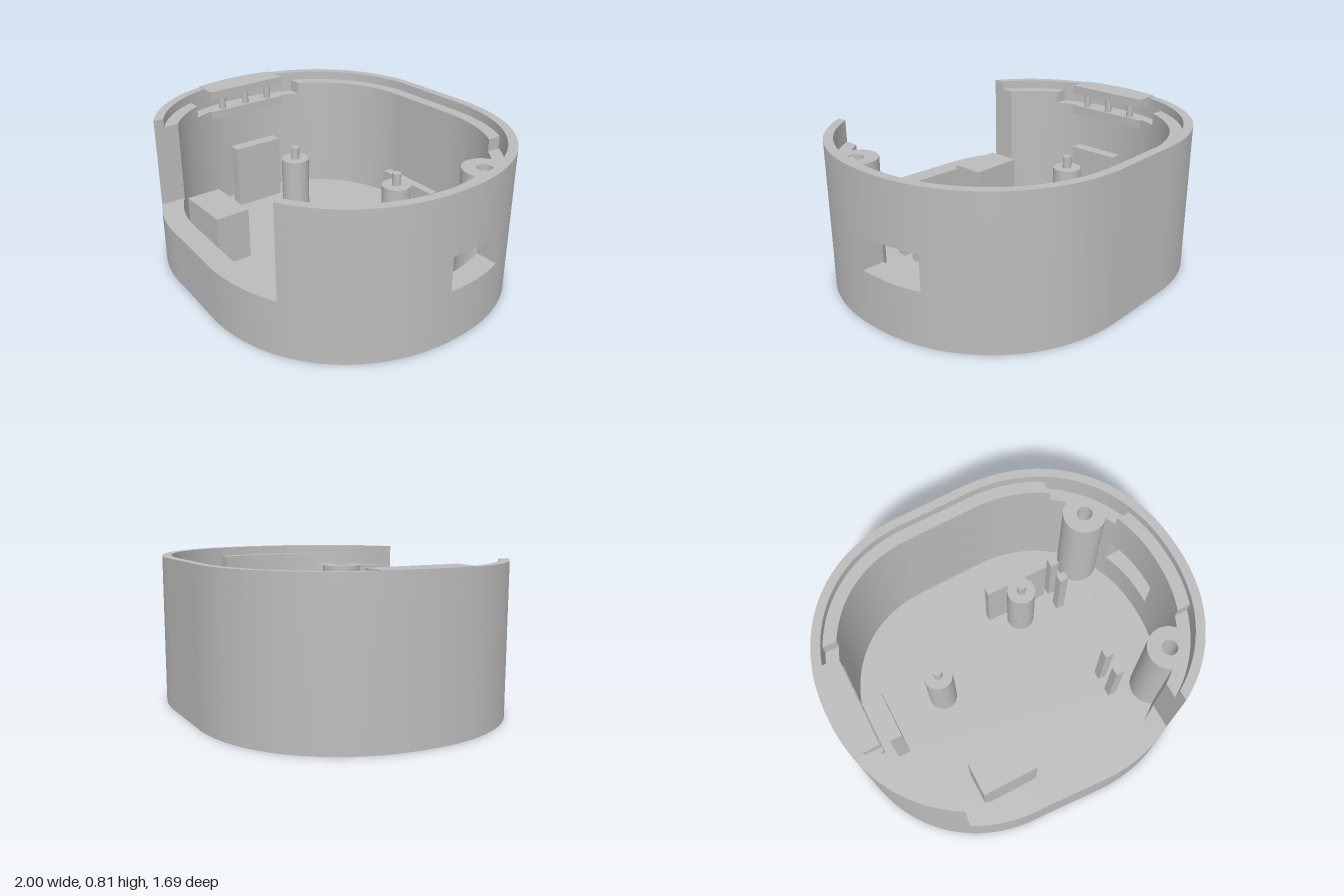
import * as THREE from 'three';
import { toCreasedNormals } from 'three/addons/utils/BufferGeometryUtils.js';

const FLOOR = 0.08, SHELF = 0.69, LEDGE = 0.76, RIM = 0.81, WALL = 0.12, LIP = 0.05;
const SCREWS = [[0.71, 0.45], [0.71, -0.445]]; // plan coordinates: x, -z

// Plan outline: four rounded quadrants, counter-clockwise in (x, -z)
function makeOutline() {
  const pts = [], n = 80, e = 2 / 2.14;
  const quads = [[0.17, 0.848, 0, n], [-0.2, 0.838, 0, n], [-0.2, 0.822, 1, n], [0.17, 0.843, 0, n - 1]];
  quads.forEach(([cx, b, i0, i1], q) => {
    const a = q === 0 || q === 3 ? 1 - cx : 1 + cx;
    for (let i = i0; i <= i1; i++) {
      const t = (q + i / n) * Math.PI / 2, c = Math.cos(t), s = Math.sin(t);
      pts.push(new THREE.Vector2(
        cx + a * Math.sign(c) * Math.abs(c) ** e,
        b * Math.sign(s) * Math.abs(s) ** e));
    }
  });
  return pts;
}
const OUTLINE = makeOutline();
const N = OUTLINE.length;

// Outline moved inward; the inner wall face bows out around the screw posts
function inset(d) {
  return OUTLINE.map((p, i) => {
    const t = OUTLINE[(i + 1) % N].clone().sub(OUTLINE[(i + N - 1) % N]).normalize();
    const r = new THREE.Vector2(p.x - t.y * d, p.y + t.x * d);
    if (d === WALL) for (const [x, y] of SCREWS) {
      const c = new THREE.Vector2(x, y), v = r.clone().sub(c);
      if (v.length() < 0.1) r.copy(c).add(v.setLength(0.1));
    }
    return r;
  });
}

// Fractional index where a curve meets axis = value on the given side of the other axis
function crossing(curve, [axis, value, side]) {
  const other = axis === 'x' ? 'y' : 'x';
  for (let i = 0; i < N; i++) {
    const a = curve[i], b = curve[(i + 1) % N];
    if (a[other] * side > 0 && a[axis] !== b[axis] && (a[axis] - value) * (b[axis] - value) <= 0)
      return i + (value - a[axis]) / (b[axis] - a[axis]);
  }
  return 0;
}

// Part of a curve, counter-clockwise between two cuts
function run(curve, from, to) {
  const at = (u) => curve[Math.floor(u) % N].clone().lerp(curve[(Math.floor(u) + 1) % N], u % 1);
  const u0 = crossing(curve, from);
  let u1 = crossing(curve, to);
  if (u1 <= u0) u1 += N;
  const pts = [at(u0)];
  for (let i = Math.floor(u0) + 1; i < u1; i++) if (i - u0 > 1e-3 && u1 - i > 1e-3) pts.push(curve[i % N].clone());
  pts.push(at(u1));
  return pts;
}

export function createModel() {
  const group = new THREE.Group();
  const grey = new THREE.MeshStandardMaterial({ color: 0xbcbcbc });
  grey.name = 'grey plastic';

  const add = (name, geo) => {
    const m = new THREE.Mesh(geo, grey);
    m.name = name;
    group.add(m);
  };
  const extrude = (name, shape, y0, y1) => {
    const g = new THREE.ExtrudeGeometry(shape, { depth: y1 - y0, bevelEnabled: false, curveSegments: 24 });
    g.rotateX(-Math.PI / 2).translate(0, y0, 0);
    add(name, toCreasedNormals(g, 0.5));
  };
  const band = (name, d0, d1, y0, y1, from, to) => extrude(name, new THREE.Shape(
    [...run(inset(d0), from, to), ...run(inset(d1), from, to).reverse()]), y0, y1);
  const box = (name, x0, x1, y0, y1, z0, z1) => add(name,
    new THREE.BoxGeometry(x1 - x0, y1 - y0, z1 - z0)
      .translate((x0 + x1) / 2, (y0 + y1) / 2, (z0 + z1) / 2));
  const rod = (name, x, z, r, y0, y1) => add(name,
    new THREE.CylinderGeometry(r, r, y1 - y0, 32).translate(x, (y0 + y1) / 2, z));
  const circle = (x, y, r, Type = THREE.Path) => new Type().absarc(x, y, r, 0, Math.PI * 2, false);

  // Floor with screw holes
  const floor = new THREE.Shape(OUTLINE);
  SCREWS.forEach(([x, y]) => floor.holes.push(circle(x, y, 0.073)));
  extrude('floor', floor, 0, FLOOR);

  // Walls around the front opening and the side window
  const cutLeft = ['x', -0.61, -1], cutRight = ['x', 0.59, -1];
  const windowBack = ['y', 0.32, 1], windowFront = ['y', -0.04, 1];
  const lower = new THREE.Shape(OUTLINE);
  lower.holes.push(new THREE.Path(inset(WALL)));
  extrude('lowerWall', lower, FLOOR, 0.29);
  band('windowSillWall', 0, WALL, 0.29, 0.305, windowBack, windowFront);
  band('backWall', 0, WALL, 0.305, 0.48, windowBack, cutLeft);
  band('rightFrontWall', 0, WALL, 0.305, 0.48, cutRight, windowFront);
  band('upperWall', 0, WALL, 0.48, SHELF, cutRight, cutLeft);
  band('rimLip', 0, LIP, SHELF, RIM, cutRight, cutLeft);

  // Raised ledge inside the lip, in three pieces
  band('sideLedge', LIP, WALL, SHELF, LEDGE, ['y', -0.305, 1], ['y', 0.31, 1]);
  band('backLedge', LIP, WALL, SHELF, LEDGE, ['x', 0.58, 1], ['y', 0.36, -1]);
  band('cornerLedge', LIP, WALL, SHELF, LEDGE, ['y', -0.36, -1], cutLeft);

  // Flat clip at the narrow end: top slab, lower bar and pegs between
  const chord = (d, z) => new THREE.Shape([
    ...run(inset(d), ['y', z, -1], ['y', -z, -1]),
    new THREE.Vector2(-0.83, -z), new THREE.Vector2(-0.83, z)]);
  extrude('clipSlab', chord(0, 0.25), 0.765, 0.815);
  extrude('clipBar', chord(LIP, 0.25), 0.64, SHELF);
  for (const z of [-0.16, 0, 0.16]) rod('clipPeg', -0.86, z, 0.02, SHELF, 0.765);

  // Hollow screw posts, wider bore below
  for (const [x, y] of SCREWS) {
    for (const [bore, y0, y1] of [[0.073, FLOOR, 0.5], [0.043, 0.5, SHELF]]) {
      const s = circle(x, y, 0.12, THREE.Shape);
      s.holes.push(circle(x, y, bore));
      extrude('screwPost', s, y0, y1);
    }
  }

  // Locating posts with pins
  for (const [x, z] of [[-0.405, -0.055], [0.232, -0.29]]) {
    rod('locatingPost', x, z, 0.08, FLOOR, 0.46);
    rod('locatingPin', x, z, 0.025, 0.46, 0.53);
  }

  // Inner supports
  box('bracket', 0.055, 0.43, FLOOR, 0.46, -0.4, -0.355);
  box('bracketNeck', 0.175, 0.29, FLOOR, 0.459, -0.36, -0.32);
  box('endPlate', -0.79, -0.72, FLOOR, 0.46, -0.15, 0.155);
  box('frontBlock', -0.475, -0.155, FLOOR, 0.37, 0.43, 0.625);
  for (const z of [-0.37, -0.26, 0.255, 0.37])
    box('smallPillar', 0.455, 0.505, FLOOR, 0.46, z - 0.025, z + 0.025);

  return group;
}
